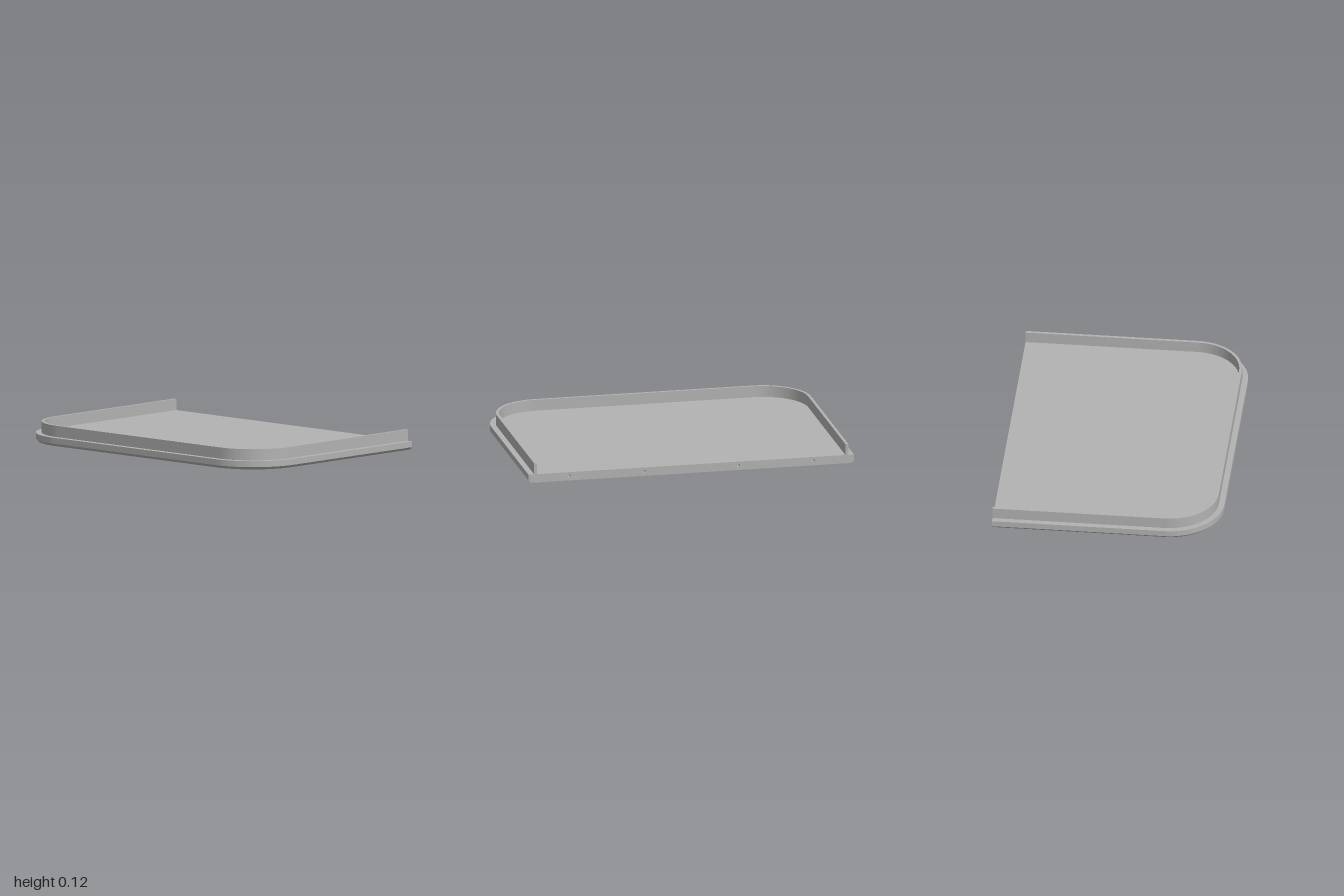
import * as THREE from 'three';

const X = 0.685, Z = 1, R = 0.33;          // half sizes and corner radius
const CHAMFER = 0.016, DECK = 0.052, TOP = 0.12;
const RIM_OUT = 0.035, RIM_IN = 0.053;     // insets of the two rim walls

const grey = new THREE.MeshStandardMaterial({ color: 0xb2b2b2, side: THREE.DoubleSide });
grey.name = 'grey';

// Open outline round three sides: position and outward direction of each point
function outline(inset) {
  const r = R - inset, cx = -X + R, cz = Z - R, pts = [];
  const add = (x, z, nx, nz) => pts.push({ x, z, nx, nz });
  add(X, Z - inset, 0, 1);
  for (const side of [1, -1]) {
    for (let i = 0; i <= 24; i++) {
      const a = (side > 0 ? i : 24 - i) / 24 * Math.PI / 2;
      const nx = -Math.sin(a), nz = side * Math.cos(a);
      add(cx + r * nx, side * cz + r * nz, nx, nz);
    }
  }
  add(X, -Z + inset, 0, -1);
  return pts;
}

// Band following the outline from one inset and height to another
function band(insetA, yA, insetB, yB) {
  const a = outline(insetA), b = outline(insetB);
  const pos = [], nor = [], idx = [];
  const len = Math.hypot(insetB - insetA, yB - yA);
  const out = (yB - yA) / len, up = (insetB - insetA) / len;
  a.forEach((p, i) => {
    pos.push(p.x, yA, p.z, b[i].x, yB, b[i].z);
    for (let k = 0; k < 2; k++) nor.push(p.nx * out, up, p.nz * out);
    if (i) {
      const j = 2 * i - 2;
      idx.push(j, j + 1, j + 3, j, j + 3, j + 2);
    }
  });
  const g = new THREE.BufferGeometry();
  g.setAttribute('position', new THREE.Float32BufferAttribute(pos, 3));
  g.setAttribute('normal', new THREE.Float32BufferAttribute(nor, 3));
  g.setIndex(idx);
  return g;
}

function circleHole(x, y, r) {
  return new THREE.Path().absarc(x, y, r, 0, Math.PI * 2, true);
}

// Blind hole, with its mouth at the origin facing up
function blindHole(name, r, depth) {
  const g = new THREE.Group();
  g.name = name;
  const wall = new THREE.Mesh(new THREE.CylinderGeometry(r, r, depth, 24, 1, true).translate(0, -depth / 2, 0), grey);
  wall.name = name + 'Wall';
  const floor = new THREE.Mesh(new THREE.CircleGeometry(r, 24).rotateX(-Math.PI / 2).translate(0, -depth, 0), grey);
  floor.name = name + 'Floor';
  g.add(wall, floor);
  return g;
}

export function createModel() {
  const model = new THREE.Group();
  model.name = 'tray';
  const add = (name, geometry) => {
    const m = new THREE.Mesh(geometry, grey);
    m.name = name;
    model.add(m);
  };

  // Base plate: side wall, chamfer and deck
  add('plateChamfer', band(CHAMFER, 0, 0, CHAMFER));
  add('plateSide', band(0, CHAMFER, 0, DECK));
  const deck = new THREE.Shape(outline(0).map(p => new THREE.Vector2(p.x, -p.z)));
  add('deck', new THREE.ShapeGeometry(deck).rotateX(-Math.PI / 2).translate(0, DECK, 0));

  // Underside with two screw holes
  const under = new THREE.Shape(outline(CHAMFER).map(p => new THREE.Vector2(p.x, p.z)));
  for (const x of [0.045, -0.357]) {
    under.holes.push(circleHole(x, -0.8, 0.026));
    const hole = blindHole('screwHole', 0.026, 0.032);
    hole.position.set(x, 0, -0.8);
    hole.rotation.x = Math.PI;
    model.add(hole);
  }
  add('underside', new THREE.ShapeGeometry(under, 24).rotateX(Math.PI / 2));

  // Straight end face with four dowel holes
  const c = CHAMFER;
  const end = new THREE.Shape([[-Z + c, 0], [Z - c, 0], [Z, c], [Z, DECK], [-Z, DECK], [-Z, c]]
    .map(([u, y]) => new THREE.Vector2(u, y)));
  for (const z of [-0.75, -0.29, 0.29, 0.75]) {
    end.holes.push(circleHole(-z, 0.028, 0.009));
    const hole = blindHole('dowelHole', 0.009, 0.06);
    hole.position.set(X, 0.028, z);
    hole.rotation.z = -Math.PI / 2;
    model.add(hole);
  }
  add('endFace', new THREE.ShapeGeometry(end, 24).rotateY(Math.PI / 2).translate(X, 0, 0));

  // Raised rim round three sides
  add('rimOutside', band(RIM_OUT, DECK, RIM_OUT, TOP));
  add('rimTop', band(RIM_OUT, TOP, RIM_IN, TOP));
  add('rimInside', band(RIM_IN, TOP, RIM_IN, DECK));
  for (const side of [1, -1]) {
    add('rimEnd', new THREE.PlaneGeometry(RIM_IN - RIM_OUT, TOP - DECK).rotateY(Math.PI / 2)
      .translate(X, (TOP + DECK) / 2, side * (Z - (RIM_IN + RIM_OUT) / 2)));
  }
  return model;
}
